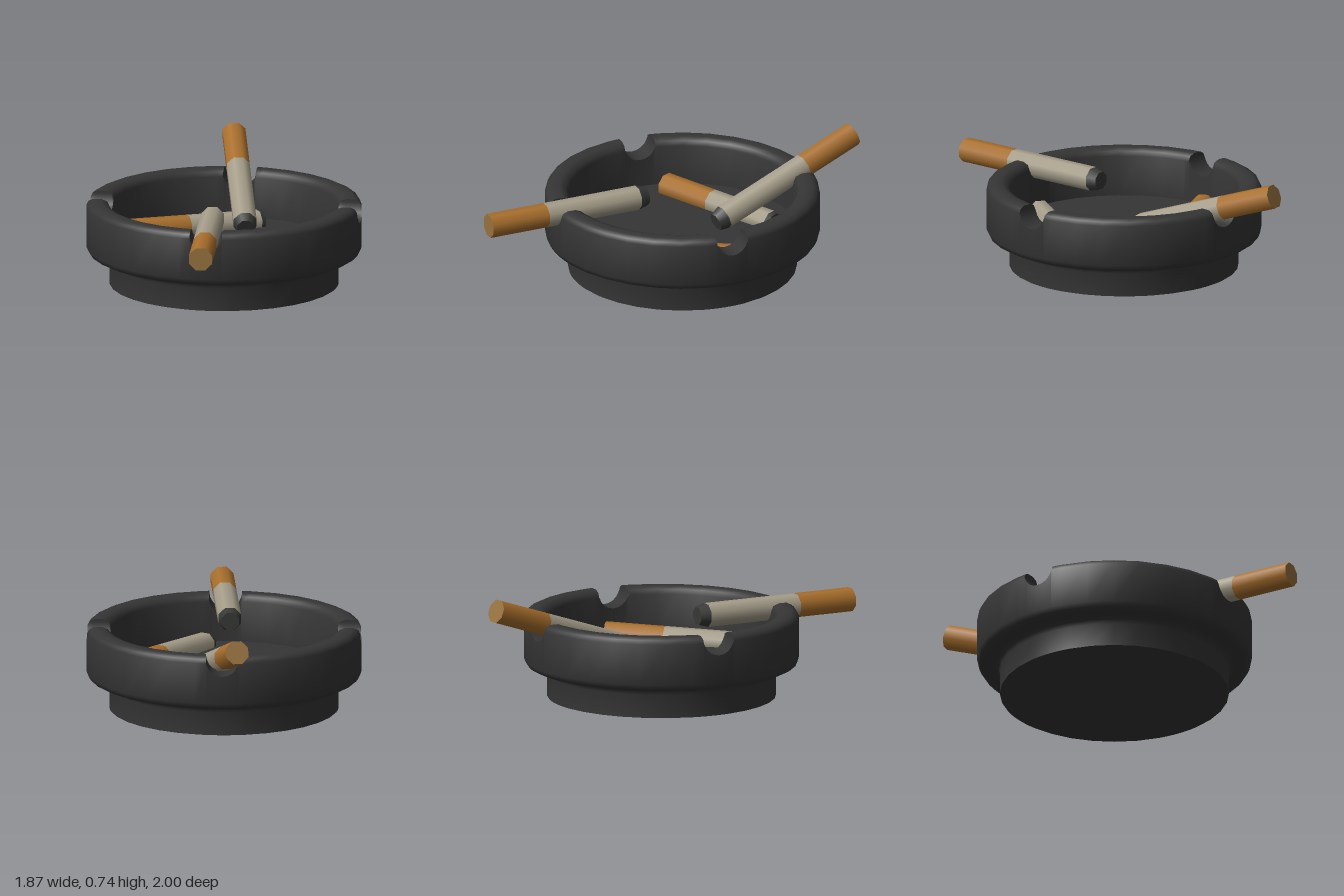
import * as THREE from 'three';
import { toCreasedNormals } from 'three/addons/utils/BufferGeometryUtils.js';

const material = (name, color) => new THREE.MeshStandardMaterial({ name, color });

// Bowl cross-section: [radius, height], from the underside round the rim to the floor
const PROFILE = [
  [0, 0], [0.735, 0], [0.735, 0.15], [0.745, 0.178], [0.77, 0.192], [0.84, 0.2], [0.868, 0.214],
  [0.882, 0.245], [0.882, 0.51], [0.871, 0.535], [0.84, 0.55], [0.785, 0.55], [0.748, 0.535],
  [0.735, 0.505], [0.735, 0.242], [0, 0.242],
];
const NOTCH_RADIUS = 0.105;
const NOTCH_CENTRE_Y = 0.53;

// Each column of the bowl has an angle, a sideways offset and a height limit
function bowlColumns() {
  const columns = [];
  for (let q = 0; q < 4; q++) {
    const angle = Math.PI / 4 + q * Math.PI / 2;
    columns.push({ angle, offset: -NOTCH_RADIUS, limit: 1 });
    for (let i = 0; i <= 10; i++) {
      const t = Math.PI * i / 10;
      columns.push({
        angle,
        offset: -NOTCH_RADIUS * Math.cos(t),
        limit: NOTCH_CENTRE_Y - NOTCH_RADIUS * Math.sin(t),
      });
    }
    columns.push({ angle, offset: NOTCH_RADIUS, limit: 1 });
    for (let k = 1; k < 8; k++) columns.push({ angle: angle + k * Math.PI / 16, offset: 0, limit: 1 });
  }
  return columns;
}

// Turned bowl whose rim is lowered to the U-shaped notches
function bowlGeometry() {
  const grid = bowlColumns().map(({ angle, offset, limit }) => PROFILE.map(([r, y]) => {
    const a = angle + Math.asin(offset / Math.max(r, 0.7));
    return new THREE.Vector3(r * Math.sin(a), Math.min(y, limit), r * Math.cos(a));
  }));
  const positions = [];
  const addTriangle = (...corners) => {
    if (new THREE.Triangle(...corners).getArea() < 1e-8) return;
    for (const p of corners) positions.push(p.x, p.y, p.z);
  };
  grid.forEach((column, i) => {
    const next = grid[(i + 1) % grid.length];
    for (let j = 0; j < PROFILE.length - 1; j++) {
      addTriangle(column[j], next[j], next[j + 1]);
      addTriangle(column[j], next[j + 1], column[j + 1]);
    }
  });
  const geometry = new THREE.BufferGeometry();
  geometry.setAttribute('position', new THREE.Float32BufferAttribute(positions, 3));
  return toCreasedNormals(geometry, 0.9);
}

export function createModel() {
  const bowlMat = material('charcoal', 0x353535);
  const filterMat = material('filterOrange', 0xaa702d);
  const coreMat = material('filterCore', 0x98723f);
  const paperMat = material('paper', 0xa79f8b);
  const ashMat = material('ash', 0x383837);

  const model = new THREE.Group();
  model.name = 'ashtray';

  const bowl = new THREE.Mesh(bowlGeometry(), bowlMat);
  bowl.name = 'bowl';
  bowl.position.set(0.052, 0, -0.03);
  model.add(bowl);

  // Eight-sided cigarette running from its filter end to its burnt tip
  function addCigarette(name, from, to, filterLength, ashLength, tipRadius) {
    const start = new THREE.Vector3(...from);
    const end = new THREE.Vector3(...to);
    const length = start.distanceTo(end);
    const radius = 0.079;
    const cigarette = new THREE.Group();
    cigarette.name = name;
    const addSection = (part, z0, z1, endRadius, materials) => {
      const geometry = new THREE.CylinderGeometry(endRadius, radius, z1 - z0, 8, 1, false, Math.PI / 8);
      geometry.rotateX(Math.PI / 2).translate(0, 0, (z0 + z1) / 2);
      const mesh = new THREE.Mesh(geometry, materials);
      mesh.name = part;
      cigarette.add(mesh);
    };
    addSection('filter', 0, filterLength, radius, [filterMat, filterMat, coreMat]);
    addSection('paperTube', filterLength, length - ashLength, radius, paperMat);
    addSection('burntTip', length - ashLength, length, tipRadius, ashMat);
    cigarette.position.copy(start);
    cigarette.lookAt(end);
    model.add(cigarette);
  }

  // Two long ones resting in the notches, two short ones half sunk in the floor
  addCigarette('frontRestingCigarette', [-0.88, 0.502, 0.945], [-0.14, 0.502, 0.11], 0.4, 0.065, 0.06);
  addCigarette('backRestingCigarette', [0.84, 0.672, -0.96], [0.265, 0.312, -0.08], 0.4, 0.065, 0.06);
  addCigarette('backStub', [-0.29, 0.284, -0.555], [0.575, 0.26, -0.31], 0.385, 0.03, 0.07);
  addCigarette('frontStub', [0.57, 0.294, 0.33], [-0.32, 0.252, 0.5], 0.385, 0.03, 0.07);

  return model;
}
